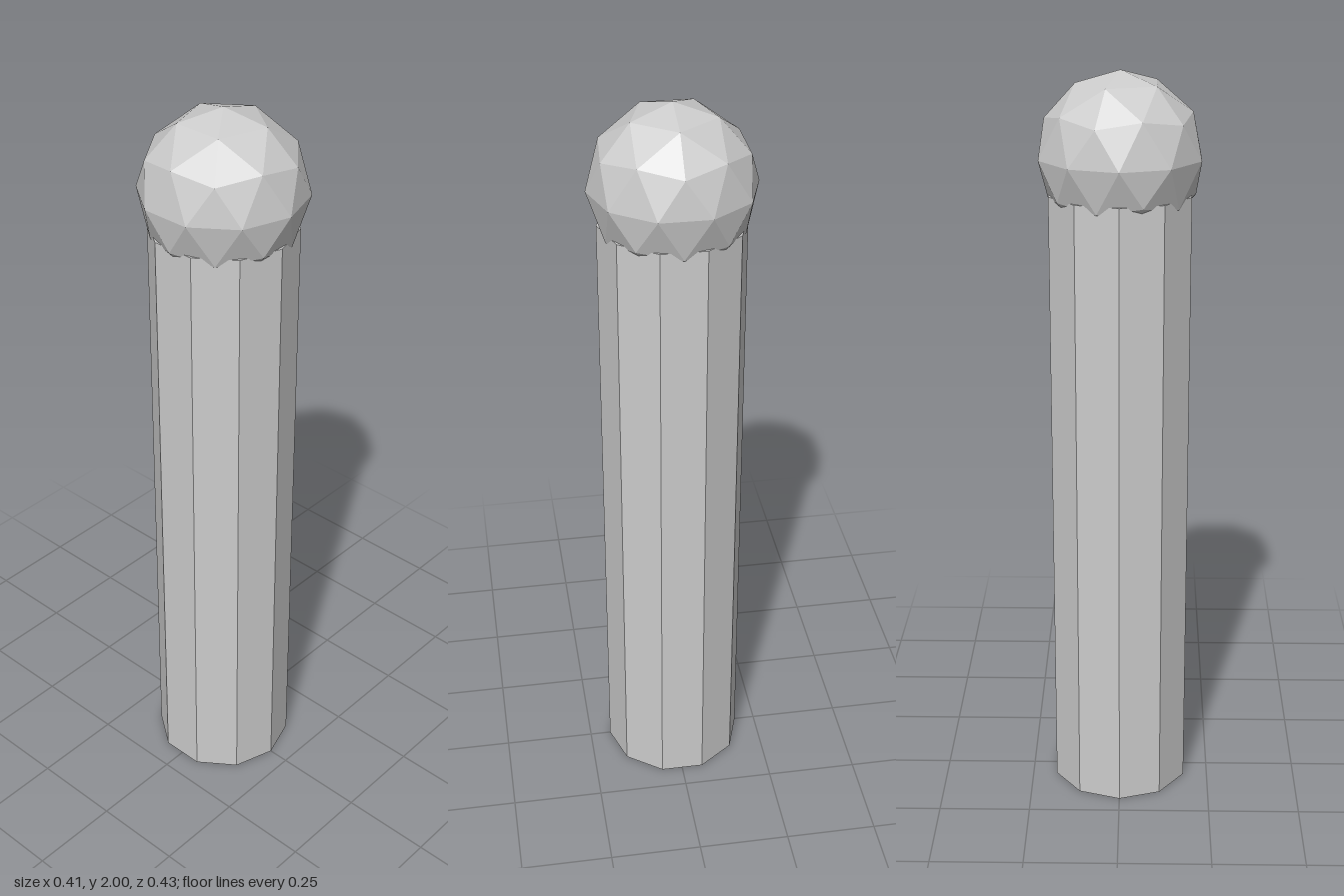
import * as THREE from 'three';

export function createModel() {
  const group = new THREE.Group();
  const material = new THREE.MeshStandardMaterial({ color: 0xcccccc, flatShading: true });

  const add = (name, geometry, y) => {
    const mesh = new THREE.Mesh(geometry, material);
    mesh.name = name;
    mesh.position.y = y;
    group.add(mesh);
    return mesh;
  };

  // Ten-sided post with a corner facing the front
  const postHeight = 1.69;
  add('post', new THREE.CylinderGeometry(0.192, 0.192, postHeight, 10), postHeight / 2);

  // Faceted ball on top, tilted so that one icosahedron corner points straight up
  const ballRadius = 0.217;
  const golden = (1 + Math.sqrt(5)) / 2;
  const ball = new THREE.IcosahedronGeometry(ballRadius, 1).rotateZ(-Math.atan(1 / golden));
  add('ball', ball, 2 - ballRadius);

  return group;
}
